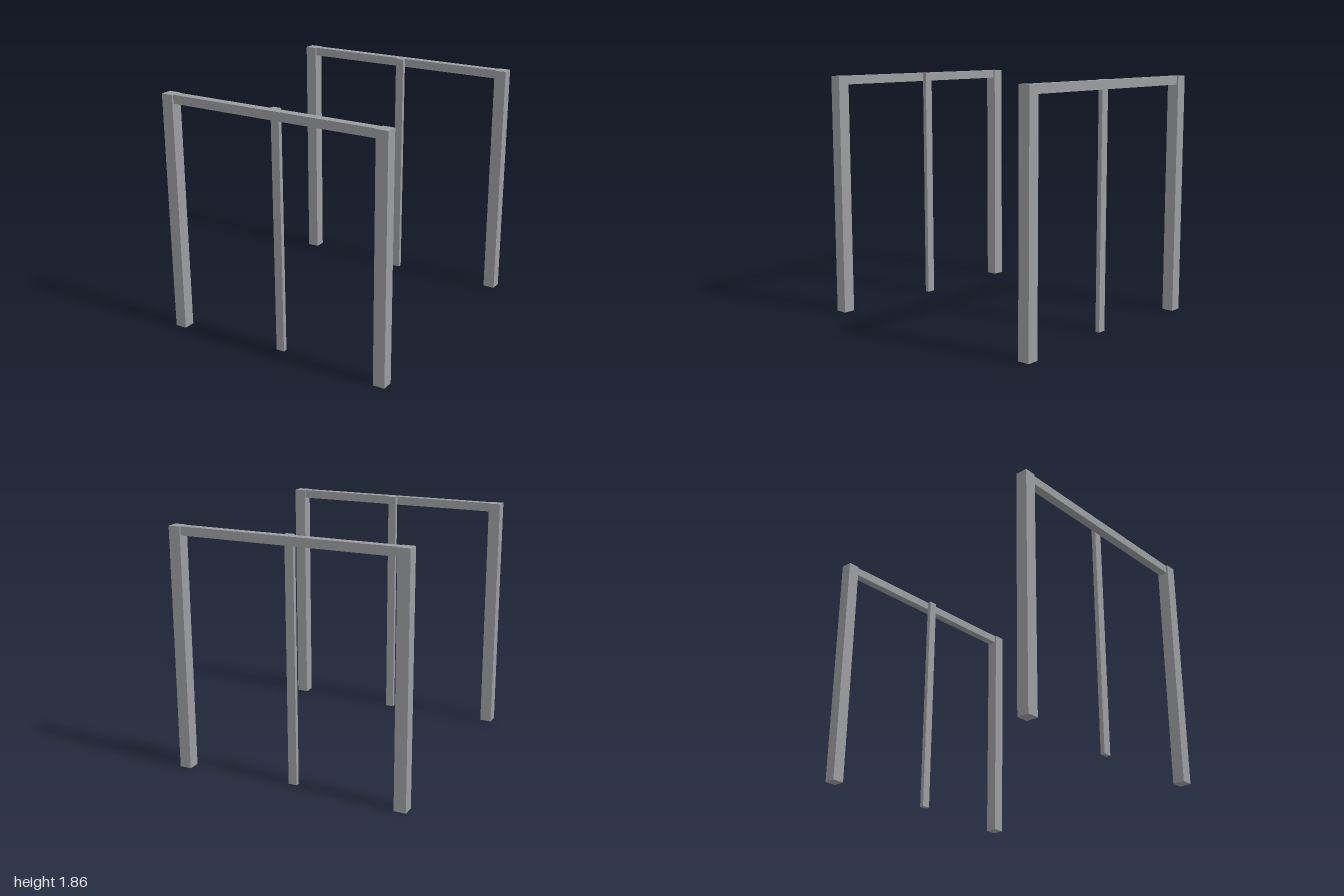
import * as THREE from 'three';

const H = 1.86;         // overall height
const POST = 0.092;     // corner post section
const BEAM = 0.066;     // beam section
const HALF_X = 0.928;   // outer half width
const MID_Z = 1 - POST / 2; // centre line of each frame

export function createModel() {
  const steel = new THREE.MeshStandardMaterial({ color: 0x9b9da0 });
  steel.name = 'grey steel';
  const model = new THREE.Group();
  model.name = 'portalFrames';

  const addBox = (parent, name, w, h, d, x, y, z) => {
    const mesh = new THREE.Mesh(new THREE.BoxGeometry(w, h, d), steel);
    mesh.name = name;
    mesh.position.set(x, y, z);
    parent.add(mesh);
  };

  // Two mirrored frames, front and back
  for (const s of [1, -1]) {
    const frame = new THREE.Group();
    frame.name = s > 0 ? 'frontFrame' : 'backFrame';
    const label = s > 0 ? 'front' : 'back';

    // Corner posts
    for (const side of [1, -1]) {
      addBox(frame, label + (side > 0 ? 'LeftPost' : 'RightPost'),
        POST, H, POST, side * (HALF_X - POST / 2), H / 2, s * MID_Z);
    }

    // Top beam between the posts
    addBox(frame, label + 'Beam', 2 * (HALF_X - POST), BEAM, BEAM, 0, H - BEAM / 2, s * MID_Z);

    // Slim middle post against the inner face of the beam
    const depth = 0.034;
    addBox(frame, label + 'MiddlePost', BEAM, H, depth, 0, H / 2,
      s * (MID_Z - BEAM / 2 - depth / 2));

    model.add(frame);
  }
  return model;
}
